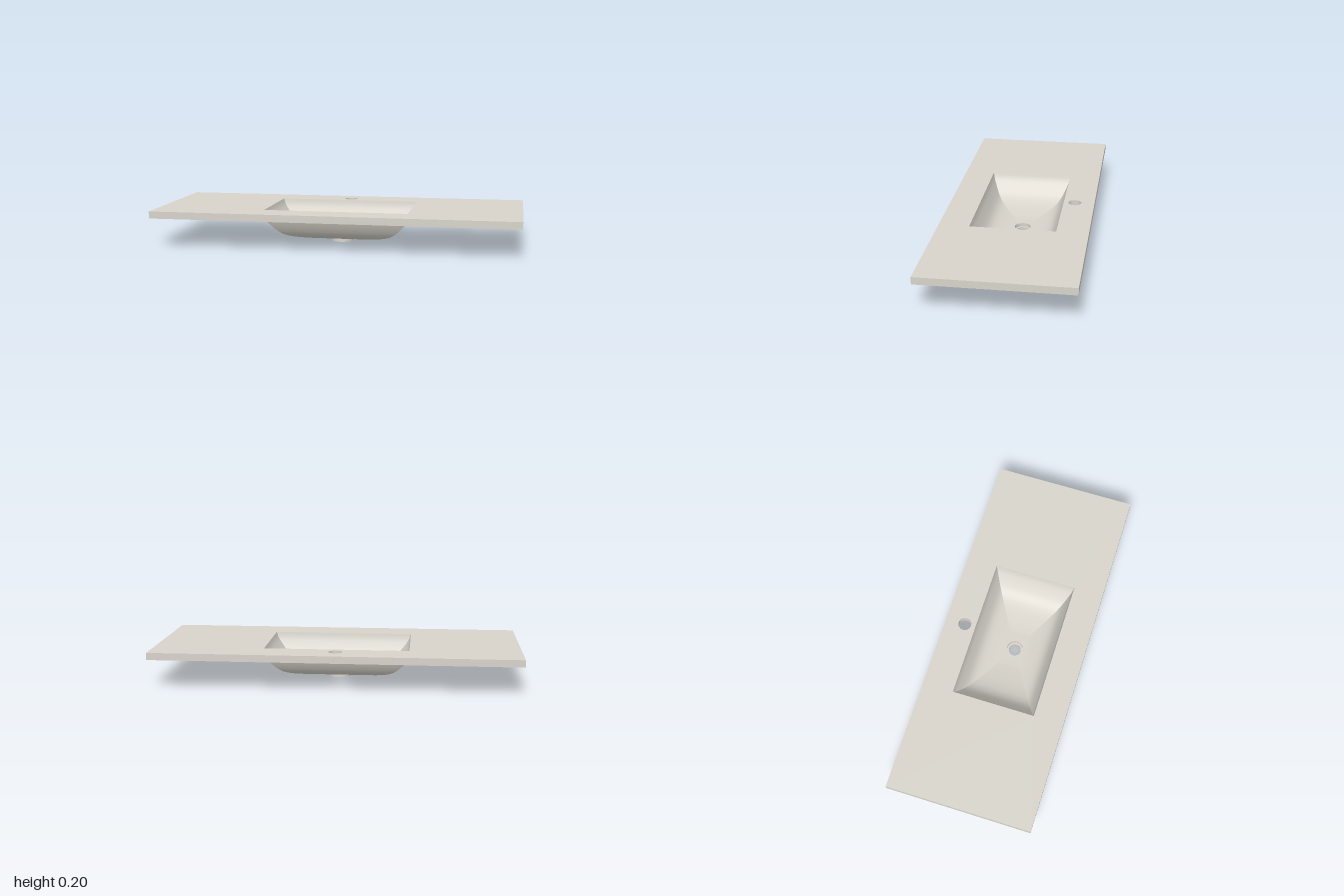
import * as THREE from 'three';
import { toCreasedNormals } from 'three/addons/utils/BufferGeometryUtils.js';

const CX = -0.003, CZ = 0.003;      // basin centre
const SLAB_BOTTOM = 0.157, SLAB_TOP = 0.196;

// Four curved walls meeting at mitred corners, closing onto a round outlet.
// profile holds [fraction of the rim size, height] pairs from the rim down.
function bowlGeometry(halfX, halfZ, profile, outletRadius, facesIn) {
  const curve = new THREE.CatmullRomCurve3(profile.map(([f, y]) => new THREE.Vector3(f, y, 0)), false, 'centripetal');
  const rings = curve.getPoints(36);
  const last = rings[rings.length - 1];
  const N = 24, positions = [], index = [];
  for (let side = 0; side < 4; side++) {
    const start = positions.length / 3;
    const place = (f, t) => {
      const hx = halfX * f, hz = halfZ * f;
      return [[t * hx, hz], [hx, -t * hz], [-t * hx, -hz], [-hx, t * hz]][side];
    };
    for (let i = 0; i <= rings.length; i++) {
      for (let j = 0; j <= N; j++) {
        const ring = rings[i] ?? last;
        let [x, z] = place(ring.x, (2 * j) / N - 1);
        if (i === rings.length) {
          const s = outletRadius / Math.hypot(x, z);
          x *= s;
          z *= s;
        }
        positions.push(x, ring.y, z);
        if (i < rings.length && j < N) {
          const a = start + i * (N + 1) + j, b = a + 1, c = a + N + 1, d = c + 1;
          if (facesIn) index.push(a, b, c, b, d, c);
          else index.push(a, c, b, b, c, d);
        }
      }
    }
  }
  const geometry = new THREE.BufferGeometry();
  geometry.setAttribute('position', new THREE.Float32BufferAttribute(positions, 3));
  geometry.setIndex(index);
  geometry.computeVertexNormals();
  return geometry;
}

function rectangle(path, cx, cy, hx, hy) {
  path.moveTo(cx - hx, cy - hy);
  path.lineTo(cx + hx, cy - hy);
  path.lineTo(cx + hx, cy + hy);
  path.lineTo(cx - hx, cy + hy);
  path.closePath();
  return path;
}

export function createModel() {
  const group = new THREE.Group();
  const ceramic = new THREE.MeshStandardMaterial({ color: 0xd8d4cb, side: THREE.DoubleSide });
  ceramic.name = 'warm grey ceramic';
  const add = (name, geometry, x = 0, y = 0, z = 0) => {
    const mesh = new THREE.Mesh(geometry, ceramic);
    mesh.name = name;
    mesh.position.set(x, y, z);
    group.add(mesh);
  };

  // Countertop with the basin opening and the tap hole
  const top = rectangle(new THREE.Shape(), 0, 0, 1, 0.4);
  top.holes.push(rectangle(new THREE.Path(), CX, -CZ, 0.395, 0.231));
  top.holes.push(new THREE.Path().absarc(CX, 0.29, 0.036, 0, Math.PI * 2, true));
  const slab = new THREE.ExtrudeGeometry(top, { depth: SLAB_TOP - SLAB_BOTTOM, bevelEnabled: false, curveSegments: 24 });
  slab.rotateX(-Math.PI / 2);
  add('countertop', toCreasedNormals(slab, 0.6), 0, SLAB_BOTTOM, 0);

  // Basin: visible inside and underside shell
  add('basinInside', bowlGeometry(0.395, 0.231, [
    [1, 0.196], [0.985, 0.178], [0.955, 0.155], [0.83, 0.095], [0.74, 0.069],
    [0.62, 0.052], [0.39, 0.037], [0.25, 0.032],
  ], 0.045, true), CX, 0, CZ);
  add('basinUnderside', bowlGeometry(0.401, 0.2366, [
    [1, 0.157], [0.92, 0.116], [0.845, 0.085], [0.757, 0.058], [0.64, 0.041],
    [0.42, 0.025], [0.3, 0.02],
  ], 0.06, false), CX, 0, CZ);

  // Drain collar with a stepped through hole
  const collar = [[0.045, 0.032], [0.045, 0.012], [0.034, 0.012], [0.034, 0], [0.061, 0], [0.061, 0.022]];
  const drain = new THREE.LatheGeometry(collar.map(([r, y]) => new THREE.Vector2(r, y)), 48);
  add('drainCollar', toCreasedNormals(drain, 0.6), CX, 0, CZ);

  return group;
}
